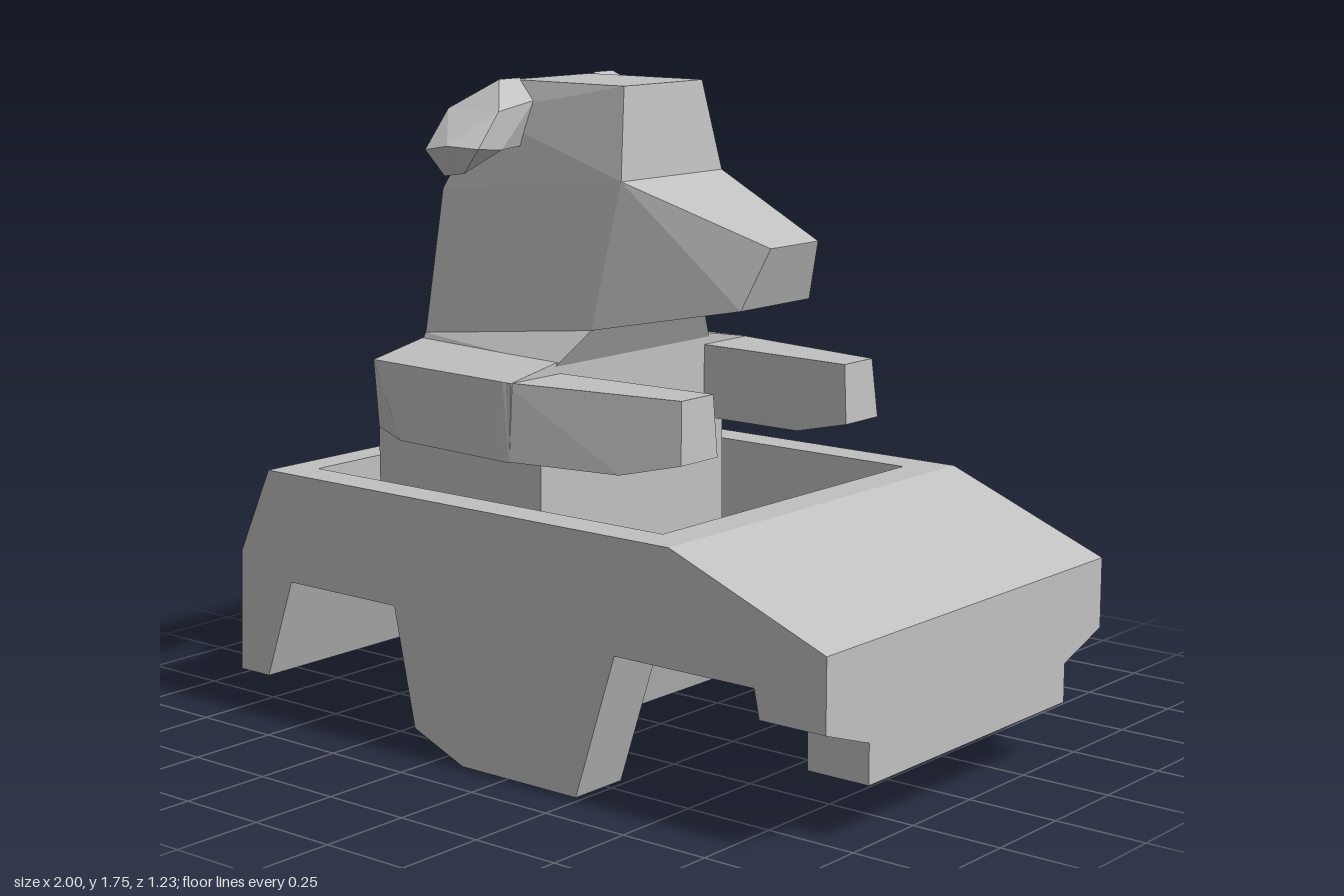
import * as THREE from 'three';
import { ConvexGeometry } from 'three/addons/geometries/ConvexGeometry.js';

const grey = new THREE.MeshStandardMaterial({ color: 0xc0c0c0 });
grey.name = 'plain grey';

export function createModel() {
  const model = new THREE.Group();
  model.name = 'animalInCar';

  const add = (name, geometry, parent) => {
    const mesh = new THREE.Mesh(geometry, grey);
    mesh.name = name;
    parent.add(mesh);
    return mesh;
  };
  // Side profile (x, y) extruded between two z values
  const slab = (name, profile, z0, z1, parent) => {
    const shape = new THREE.Shape(profile.map(([x, y]) => new THREE.Vector2(x, y)));
    const g = new THREE.ExtrudeGeometry(shape, { depth: z1 - z0, bevelEnabled: false });
    return add(name, g.translate(0, 0, z0), parent);
  };
  // Faceted solid around a few corner points
  const solid = (name, points, parent) =>
    add(name, new ConvexGeometry(points.map((p) => new THREE.Vector3(...p))), parent);
  const mirrored = (points) => points.flatMap(([x, y, z]) => [[x, y, z], [x, y, -z]]);
  const flip = (points, s) => points.map(([x, y, z]) => [x, y, z * s]);

  // ---- Car ----
  const car = new THREE.Group();
  car.name = 'car';
  model.add(car);

  const rear = [[-0.87, 0.69], [-0.985, 0.45], [-1, 0.11], [-0.89, 0.11], [-0.79, 0.39]];
  const nose = [[0.79, 0.39], [1, 0.39], [1, 0.505], [0.53, 0.69]];
  const skirt = [[-0.4, 0.395], [-0.33, 0.07], [-0.16, 0], [0.23, 0], [0.36, 0.395]];

  // Middle of the hull: footwell below, open cockpit with sloping floor above
  const footwell = [[-0.36, 0.39], [-0.34, 0.15], [0.16, 0.15], [0.23, 0.39]];
  const cockpit = [[0.43, 0.69], [-0.05, 0.45], [-0.78, 0.45], [-0.78, 0.69]];
  slab('hullMiddle', [...rear, ...footwell, ...nose, ...cockpit], -0.515, 0.515, car);

  for (const s of [1, -1]) {
    const side = s > 0 ? 'left' : 'right';
    const span = (a, b) => (s > 0 ? [a, b] : [-b, -a]);
    slab(side + 'HullWall', [...rear, ...nose], ...span(0.515, 0.615), car);
    slab(side + 'Skirt', skirt, ...span(0.44, 0.615), car);
  }

  // Front bumper: cross-section stepped in at both sides, rear face leaning
  const section = [[-0.615, 0.39], [-0.615, 0.315], [-0.44, 0.255], [-0.44, 0.15],
    [0.44, 0.15], [0.44, 0.255], [0.615, 0.315], [0.615, 0.39]];
  const bumper = new THREE.ExtrudeGeometry(
    new THREE.Shape(section.map(([z, y]) => new THREE.Vector2(-z, y))),
    { depth: 0.18, bevelEnabled: false });
  bumper.rotateY(Math.PI / 2).translate(0.82, 0, 0);
  const pos = bumper.attributes.position;
  for (let i = 0; i < pos.count; i++) {
    if (pos.getX(i) < 0.9) pos.setX(i, 0.82 - 0.03 * Math.max(0, (pos.getY(i) - 0.25) / 0.14));
  }
  bumper.computeVertexNormals();
  add('frontBumper', bumper, car);

  // ---- Animal, facing +x ----
  const animal = new THREE.Group();
  animal.name = 'animal';
  model.add(animal);

  solid('lowerTorso', mirrored([
    [-0.71, 0.45, 0.35], [-0.6, 0.45, 0.38], [-0.09, 0.45, 0.38],
    [-0.71, 0.8, 0.35], [-0.6, 0.8, 0.38], [-0.09, 0.8, 0.38],
  ]), animal);
  solid('shoulders', mirrored([
    [-0.71, 0.79, 0.35], [-0.51, 0.795, 0.47], [-0.09, 0.795, 0.5],
    [-0.62, 1.0, 0.455], [-0.09, 1.0, 0.49],
    [-0.64, 1.03, 0.25], [-0.09, 1.03, 0.32],
  ]), animal);
  solid('neck', mirrored([
    [-0.64, 1.02, 0.25], [-0.09, 1.02, 0.32],
    [-0.635, 1.045, 0.24], [-0.04, 1.11, 0.235],
  ]), animal);

  // Head
  solid('cranium', mirrored([
    [-0.635, 1.04, 0.24], [-0.04, 1.11, 0.235], [-0.59, 1.44, 0.21],
    [-0.46, 1.65, 0.19], [-0.38, 1.74, 0.155], [0.01, 1.74, 0.16], [0.04, 1.5, 0.208],
  ]), animal);
  solid('muzzle', mirrored([
    [-0.04, 1.11, 0.235], [0.04, 1.5, 0.208], [-0.1, 1.45, 0.2],
    [0.44, 1.35, 0.1], [0.38, 1.19, 0.145],
  ]), animal);

  // Forearms and drooping ears
  const forearm = [
    [-0.12, 0.797, 0.3], [-0.12, 0.797, 0.5], [-0.12, 1.0, 0.3], [-0.12, 1.0, 0.49],
    [-0.09, 0.797, 0.5], [0.24, 0.8, 0.285], [0.24, 0.8, 0.455],
    [0.41, 0.84, 0.275], [0.41, 0.84, 0.42], [0.4, 1.0, 0.28], [0.4, 1.0, 0.405],
  ];
  const earBend = [
    [-0.46, 1.67, 0.32], [-0.28, 1.67, 0.32], [-0.43, 1.56, 0.31], [-0.28, 1.57, 0.31],
  ];
  const earRoot = [
    [-0.36, 1.745, 0.15], [-0.36, 1.745, 0.23], [-0.46, 1.66, 0.17],
    [-0.29, 1.69, 0.17], [-0.42, 1.57, 0.19], [-0.32, 1.57, 0.19],
  ];
  const earTip = [
    [-0.44, 1.57, 0.43], [-0.35, 1.585, 0.442], [-0.26, 1.58, 0.42],
    [-0.41, 1.5, 0.39], [-0.34, 1.51, 0.39],
  ];
  for (const s of [1, -1]) {
    const side = s > 0 ? 'left' : 'right';
    solid(side + 'Forearm', flip(forearm, s), animal);
    solid(side + 'EarBase', flip([...earRoot, ...earBend], s), animal);
    solid(side + 'EarTip', flip([...earBend, ...earTip], s), animal);
  }

  return model;
}
